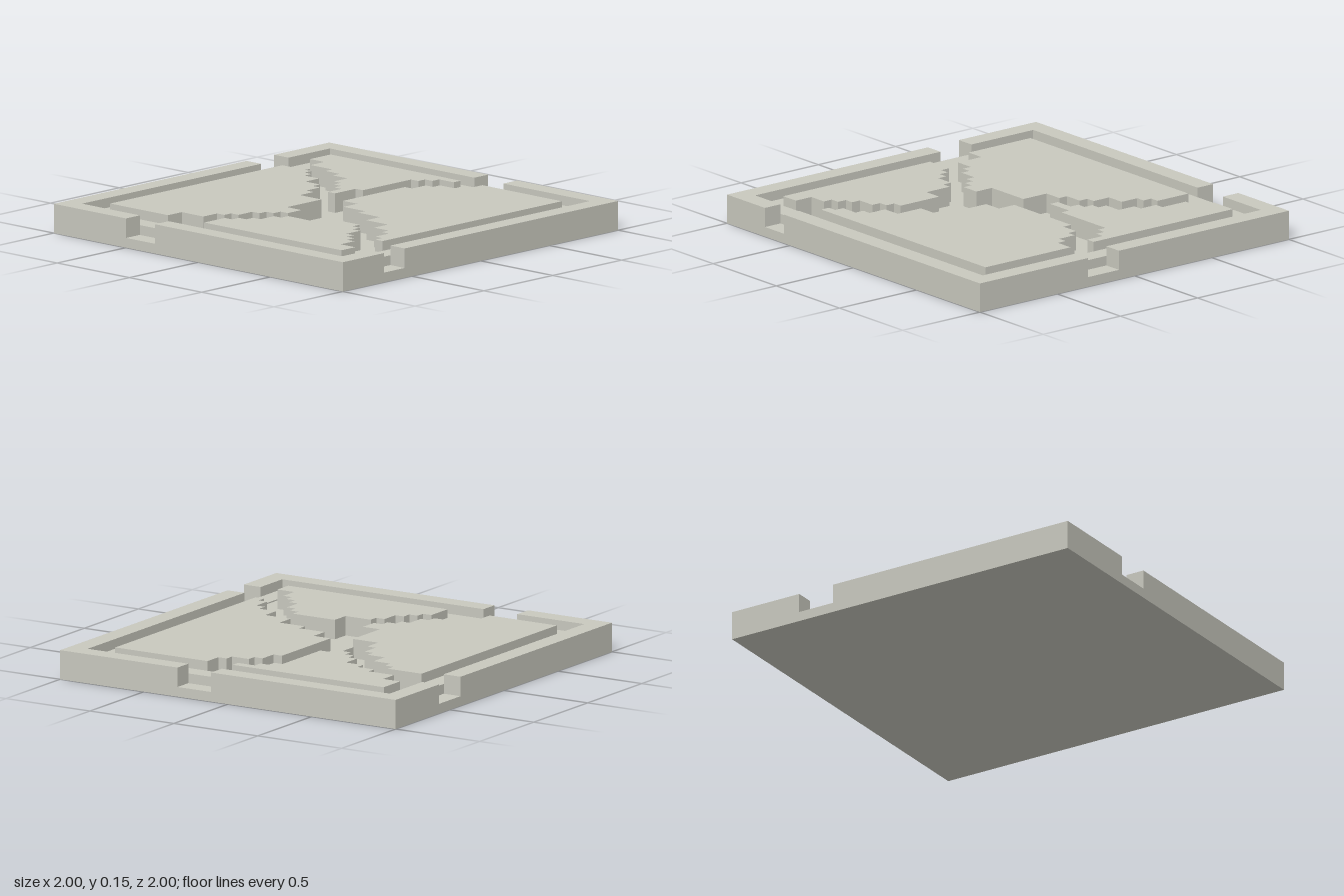
import * as THREE from 'three';

const FLOOR = 0.05, LEDGE = 0.1, TOP = 0.15;

// Outline in plan (x, z): from a start point, alternate moves in x and z
function stepOutline(startX, startZ, moves, xFirst = true) {
  const points = [new THREE.Vector2(startX, -startZ)];
  let x = startX, z = startZ, alongX = xFirst;
  for (const value of moves) {
    if (alongX) x = value; else z = value;
    alongX = !alongX;
    points.push(new THREE.Vector2(x, -z));
  }
  return points;
}

// Vertical prism between two heights
function prism(name, shape, bottom, top, material) {
  const geometry = new THREE.ExtrudeGeometry(shape, { depth: top - bottom, bevelEnabled: false });
  geometry.rotateX(-Math.PI / 2);
  geometry.translate(0, bottom, 0);
  const mesh = new THREE.Mesh(geometry, material);
  mesh.name = name;
  return mesh;
}

export function createModel() {
  const model = new THREE.Group();
  model.name = 'channelTile';
  const stone = new THREE.MeshStandardMaterial({ color: 0xc8c8be });
  stone.name = 'paleStone';

  // Base slab, also the floor of the channels and rim notches
  const base = new THREE.Mesh(new THREE.BoxGeometry(2, FLOOR, 2), stone);
  base.name = 'baseSlab';
  base.position.y = FLOOR / 2;
  model.add(base);

  // Low ledge between the rim and the plateaus
  const square = (r) => stepOutline(-r, -r, [r, r, -r]);
  const ledge = new THREE.Shape(square(0.9));
  ledge.holes.push(new THREE.Path(square(0.8)));
  model.add(prism('ledge', ledge, FLOOR, LEDGE, stone));

  // Rim corners: side signs, then where the x arm and z arm stop at a notch
  const rim = new THREE.Group();
  rim.name = 'rim';
  const corners = [
    ['rimBackRight', -1, -1, 0.1, -0.6],
    ['rimBackLeft', 1, -1, 0.3, 0.55],
    ['rimFrontLeft', 1, 1, -0.3, 0.7],
    ['rimFrontRight', -1, 1, -0.5, -0.4],
  ];
  for (const [name, sx, sz, endX, endZ] of corners) {
    const outline = stepOutline(endX, sz, [sx, endZ, sx * 0.9, sz * 0.9, endX]);
    rim.add(prism(name, new THREE.Shape(outline), FLOOR, TOP, stone));
  }
  model.add(rim);

  // Four raised plateaus whose stepped edges form the channels
  const plateaus = new THREE.Group();
  plateaus.name = 'plateaus';
  const outlines = {
    plateauBack: stepOutline(-0.8, -0.65, [
      -0.7, -0.55, -0.55, -0.5, -0.45, -0.45, -0.35, -0.35, -0.3, -0.3, -0.25, -0.25,
      -0.2, -0.15, -0.15, -0.3, -0.1, -0.65, -0.05, -0.7, 0, -0.75, 0.1, -0.8, -0.8]),
    plateauRight: stepOutline(-0.8, -0.45, [
      -0.6, -0.4, -0.55, -0.35, -0.45, -0.25, -0.35, -0.2, -0.3, -0.1, -0.25, 0,
      -0.1, 0.25, 0, 0.35, -0.05, 0.4, -0.1, 0.45, -0.15, 0.55, -0.2, 0.6,
      -0.25, 0.7, -0.4, 0.8, -0.8]),
    plateauLeft: stepOutline(0.25, -0.8, [
      -0.7, 0.2, -0.65, 0.1, -0.6, 0.05, -0.5, 0, -0.05, 0.1, 0.05, 0.25,
      0.1, 0.4, 0.2, 0.55, 0.3, 0.65, 0.35, 0.7, 0.45, 0.75, 0.5, 0.8, -0.8], false),
    plateauFront: stepOutline(-0.15, 0.8, [
      0.65, -0.1, 0.6, -0.05, 0.55, 0, 0.45, 0.05, 0.4, 0.2, 0.3, 0.45,
      0.35, 0.5, 0.4, 0.55, 0.5, 0.6, 0.55, 0.65, 0.6, 0.7, 0.7, 0.8, 0.8], false),
  };
  for (const [name, outline] of Object.entries(outlines)) {
    plateaus.add(prism(name, new THREE.Shape(outline), FLOOR, TOP, stone));
  }
  model.add(plateaus);

  return model;
}
